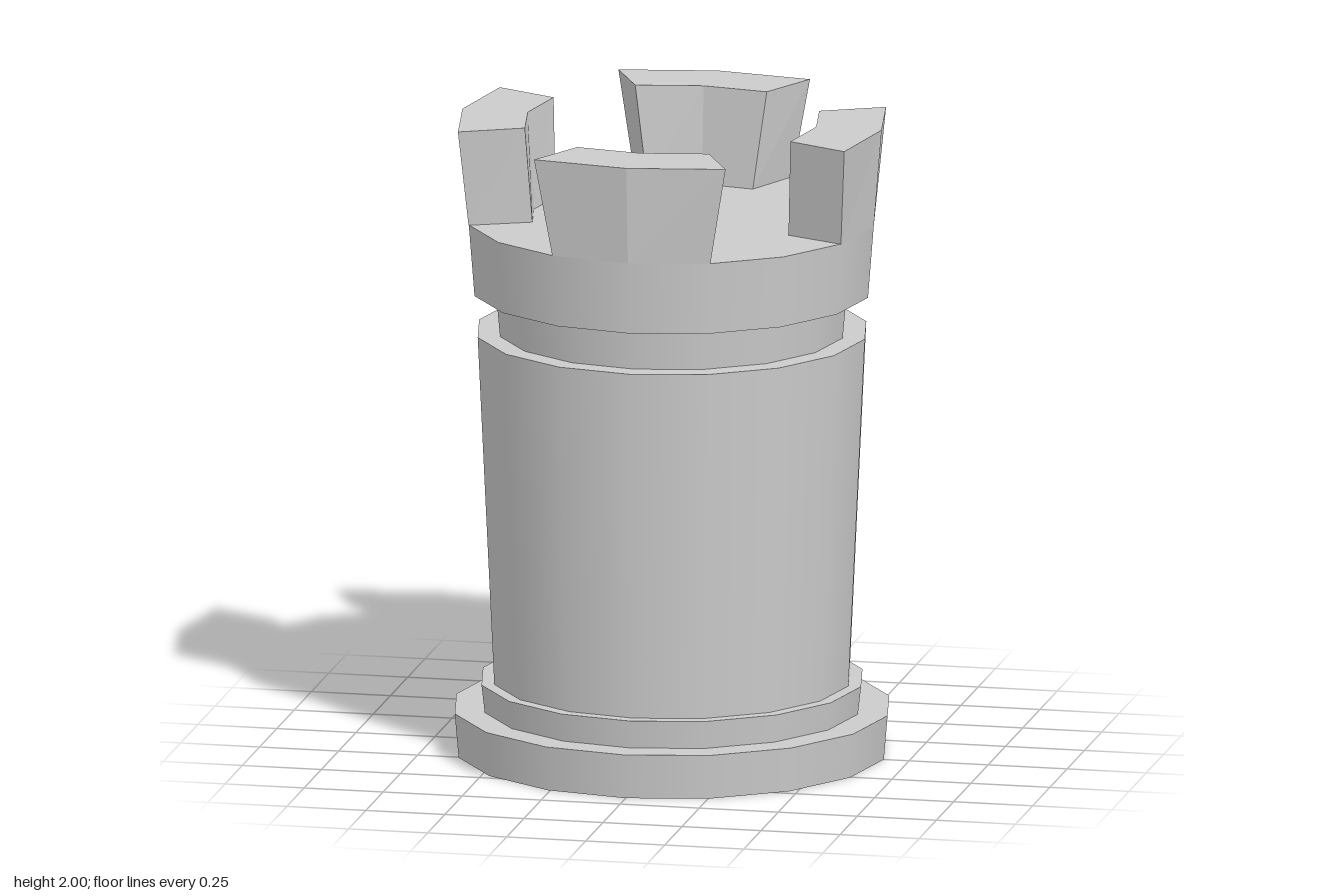
import * as THREE from 'three';

const SIDES = 16;

// Closed, slightly tapered drum standing between two heights
function drum(name, y0, y1, r0, r1, material) {
  const mesh = new THREE.Mesh(new THREE.CylinderGeometry(r1, r0, y1 - y0, SIDES), material);
  mesh.position.y = (y0 + y1) / 2;
  mesh.name = name;
  return mesh;
}

// Outline of a battlement: two outer and two inner facets, anticlockwise from above
function outline(y, outerX, outerZ, outerMid, innerX, innerZ, innerMid) {
  return [
    [-outerX, y, outerZ], [0, y, outerMid], [outerX, y, outerZ],
    [innerX, y, innerZ], [0, y, innerMid], [-innerX, y, innerZ],
  ];
}

// Solid between a lower and an upper outline
function battlementGeometry(bottom, top) {
  const pos = [];
  const quad = (a, b, c, d) => pos.push(...a, ...b, ...c, ...a, ...c, ...d);
  for (let i = 0; i < 6; i++) {
    const j = (i + 1) % 6;
    quad(bottom[i], bottom[j], top[j], top[i]);
  }
  for (const [a, b, c, d] of [[0, 1, 4, 5], [1, 2, 3, 4]]) {
    quad(top[a], top[b], top[c], top[d]);
    quad(bottom[d], bottom[c], bottom[b], bottom[a]);
  }
  const geometry = new THREE.BufferGeometry();
  geometry.setAttribute('position', new THREE.Float32BufferAttribute(pos, 3));
  geometry.computeVertexNormals();
  return geometry;
}

export function createModel() {
  const group = new THREE.Group();
  group.name = 'castleTower';
  const smooth = new THREE.MeshStandardMaterial({ color: 0xcccccc });
  const flat = new THREE.MeshStandardMaterial({ color: 0xcccccc, flatShading: true });

  // Stacked drums from the foot to the collar
  group.add(
    drum('base', 0, 0.14, 0.67, 0.682, smooth),
    drum('baseStep', 0.14, 0.228, 0.588, 0.598, smooth),
    drum('body', 0.228, 1.333, 0.558, 0.61, smooth),
    drum('neck', 1.333, 1.465, 0.54, 0.552, smooth),
    drum('collar', 1.465, 1.692, 0.62, 0.638, smooth),
  );

  // Four battlements that flare outwards
  const geometry = battlementGeometry(
    outline(1.692, 0.25, 0.589, 0.638, 0.167, 0.405, 0.438),
    outline(2, 0.303, 0.611, 0.663, 0.208, 0.42, 0.456),
  );
  for (let i = 0; i < 4; i++) {
    const battlement = new THREE.Mesh(geometry, flat);
    battlement.rotation.y = (i * Math.PI) / 2;
    battlement.name = `battlement${i + 1}`;
    group.add(battlement);
  }
  return group;
}
